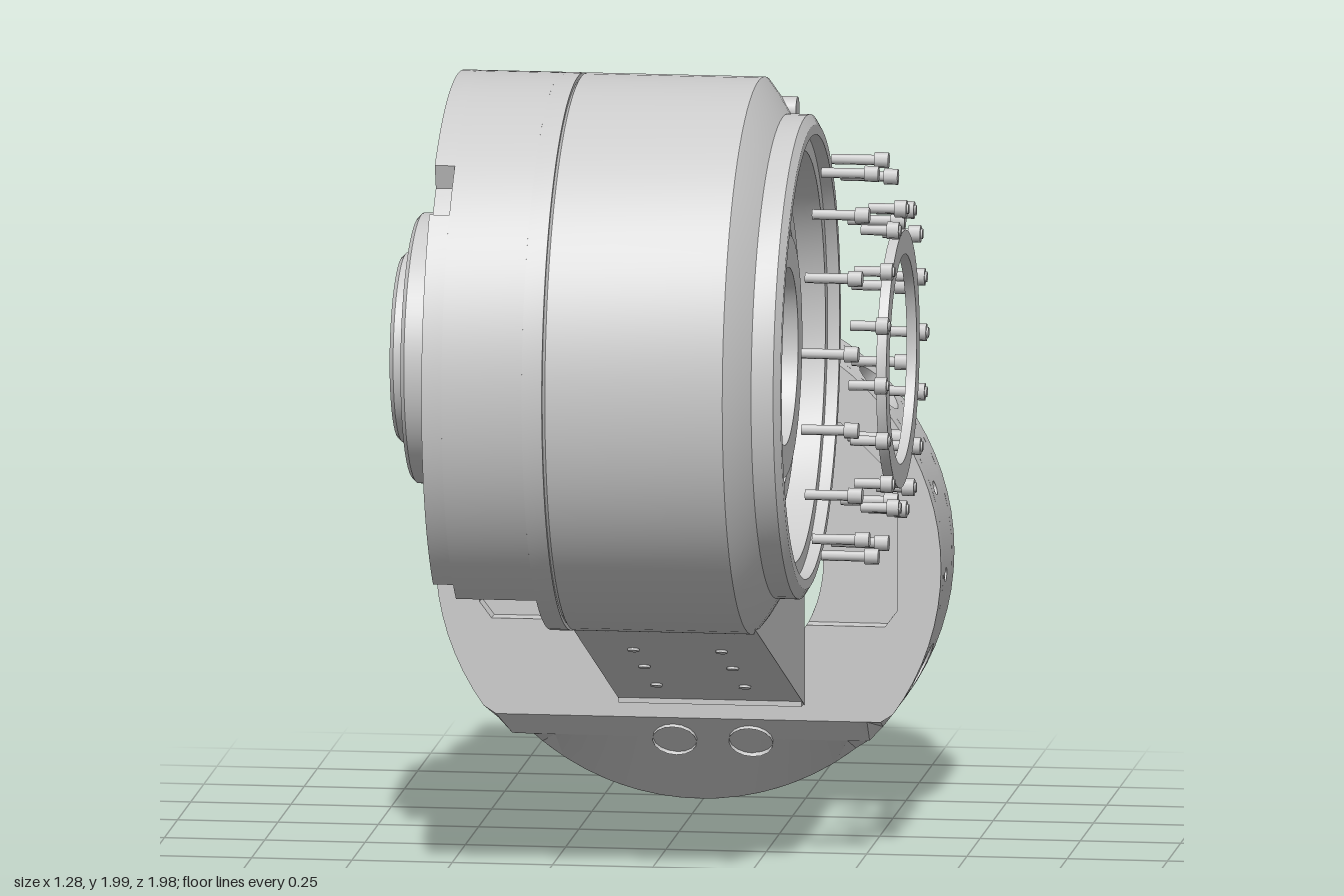
import * as THREE from 'three';
import { mergeGeometries, toCreasedNormals } from 'three/addons/utils/BufferGeometryUtils.js';

const mat = new THREE.MeshStandardMaterial({ color: 0xcccccc, side: THREE.DoubleSide });
const DEG = Math.PI / 180;

function add(parent, name, geo, x = 0, y = 0, z = 0) {
  const m = new THREE.Mesh(geo, mat);
  m.name = name;
  m.position.set(x, y, z);
  parent.add(m);
  return m;
}
function group(parent, name) {
  const g = new THREE.Group();
  g.name = name;
  parent.add(g);
  return g;
}
const smooth = (g) => toCreasedNormals(g, 0.5);
const vecs = (pts) => pts.map(([a, b]) => new THREE.Vector2(a, b));

// Turned part whose axis is local z; profile is [radius, z]
const turned = (pts, seg = 64, start = 0, len = Math.PI * 2) =>
  smooth(new THREE.LatheGeometry(vecs(pts), seg, start, len).rotateX(Math.PI / 2));

// Plate cut from an outline, from z0 to z1
function plate(pts, z0, z1, holes = []) {
  const s = new THREE.Shape(vecs(pts));
  holes.forEach((h) => s.holes.push(new THREE.Path(vecs(h))));
  return smooth(new THREE.ExtrudeGeometry(s, { depth: z1 - z0, bevelEnabled: false }).translate(0, 0, z0));
}
function arc(r, a0, a1, n, cx = 0, cy = 0) {
  return Array.from({ length: n + 1 }, (_, i) => {
    const a = a0 + ((a1 - a0) * i) / n;
    return [cx + r * Math.cos(a), cy + r * Math.sin(a)];
  });
}

// Thick ring around z with radial holes {a: degrees, z, r}: flat panels bent round
function boredRing(R, r, z0, z1, holes) {
  const panels = [];
  const panel = (a0, a1, hole) => {
    const n = hole ? 4 : 1, pts = [];
    for (let i = 0; i <= n; i++) pts.push([(a0 + ((a1 - a0) * i) / n) * DEG * R, z0]);
    for (let i = n; i >= 0; i--) pts.push([(a0 + ((a1 - a0) * i) / n) * DEG * R, z1]);
    const s = new THREE.Shape(vecs(pts));
    if (hole) s.holes.push(new THREE.Path().absarc(hole.a * DEG * R, hole.z, hole.r, 0, Math.PI * 2, true));
    panels.push(new THREE.ExtrudeGeometry(s, { depth: R - r, bevelEnabled: false, curveSegments: 8 }));
  };
  holes.sort((p, q) => p.a - q.a).forEach((h, i) => {
    const half = (h.r / R / DEG) * 1.25;
    const next = holes[(i + 1) % holes.length];
    const end = next.a + (i === holes.length - 1 ? 360 : 0) - (next.r / R / DEG) * 1.25;
    panel(h.a - half, h.a + half, h);
    const start = h.a + half, n = Math.max(1, Math.ceil((end - start) / 6));
    for (let k = 0; k < n; k++) panel(start + ((end - start) * k) / n, start + ((end - start) * (k + 1)) / n);
  });
  const g = mergeGeometries(panels), p = g.attributes.position;
  for (let i = 0; i < p.count; i++) {
    const a = p.getX(i) / R, z = p.getY(i), rad = r + p.getZ(i);
    p.setXYZ(i, rad * Math.cos(a), rad * Math.sin(a), z);
  }
  return smooth(g);
}

// Slanted flat across the bottom front of the flange
function slant(g) {
  const p = g.attributes.position;
  for (let i = 0; i < p.count; i++) {
    const lim = -0.39 + (p.getZ(i) + 0.5) * 1.14;
    if (p.getY(i) < lim) p.setY(i, lim);
  }
  return smooth(g);
}

// Disc sliced by a chord at x = d, with a bite for the hub and an optional rim notch
function slicedDisc(R, d, bite, notch) {
  const a = Math.acos(d / R), out = [];
  for (let i = 0; i <= 90; i++) {
    const t = a + ((2 * Math.PI - 2 * a) * i) / 90;
    const r = notch && Math.abs(t - Math.PI) < 0.09 ? R - 0.06 : R;
    out.push([r * Math.cos(t), r * Math.sin(t)]);
  }
  if (bite) {
    const b = Math.acos(d / bite);
    out.push(...arc(bite, 2 * Math.PI - b, b, 24));
  }
  return out;
}

// Open-topped connector housing
function housing(parent, name, x0, x1, y0, y1, z0, z1, wall, floor) {
  const rect = (k) => [[x0 + k, y0 + k], [x1 - k, y0 + k], [x1 - k, y1 - k], [x0 + k, y1 - k]];
  add(parent, name, plate(rect(0), z0, z1, [rect(wall)]));
  add(parent, name + 'Floor', plate(rect(wall / 2), z0 + 0.005, z0 + floor));
}

export function createModel() {
  const model = new THREE.Group();
  model.name = 'jointActuator';

  // Drum, local frame: x = world z, y = up, z = world -x
  const drum = group(model, 'drum');
  drum.rotation.y = -Math.PI / 2;
  drum.position.set(0, 1.31, 0.3);
  add(drum, 'drumBody', turned([
    [0, -0.1], [0.2, -0.1], [0.22, -0.34], [0.3, -0.34], [0.3, -0.3], [0.36, -0.3], [0.36, -0.32],
    [0.41, -0.32], [0.41, -0.29], [0.51, -0.29], [0.51, -0.37], [0.55, -0.37], [0.55, -0.4],
    [0.575, -0.4], [0.6, -0.385], [0.6, -0.33], [0.65, -0.3], [0.69, -0.27], [0.69, 0.172],
    [0.68, 0.18], [0, 0.18]], 80));
  const boss = add(drum, 'rimScrew', new THREE.CylinderGeometry(0.035, 0.035, 0.06, 12), -0.21, 0.58, -0.31);
  boss.rotation.x = Math.PI / 2;

  // Contact pins and floating ring
  const pins = group(drum, 'pins');
  const pin = (r, a, w, len, s) => {
    const m = add(pins, 'pin', new THREE.CylinderGeometry(s, s, len, 8), r * Math.cos(a), r * Math.sin(a), w);
    m.rotation.x = Math.PI / 2;
  };
  for (let i = 0; i < 16; i++) {
    const a = i * 22.5 * DEG;
    pin(0.49, a + 11.25 * DEG, -0.51, 0.14, 0.013);
    pin(0.49, a + 11.25 * DEG, -0.565, 0.035, 0.02);
    pin(0.377, a, -0.595, 0.1, 0.013);
    pin(0.377, a, -0.625, 0.03, 0.022);
  }
  add(drum, 'floatingRing', turned([[0.26, -0.63], [0.32, -0.63], [0.32, -0.605], [0.26, -0.605], [0.26, -0.63]], 48));

  // Rear cover, turned so that local x points down and back
  const cover = group(drum, 'rearCover');
  cover.rotation.z = 225 * DEG;
  add(cover, 'coverBase', plate(slicedDisc(0.69, 0.48), 0.18, 0.23));
  add(cover, 'coverShell', plate(slicedDisc(0.69, 0.1, 0.25), 0.23, 0.43));
  add(cover, 'coverFace', plate(slicedDisc(0.69, 0.03, 0.25, true), 0.43, 0.48));
  add(cover, 'hub', turned([[0.19, 0.23], [0.335, 0.23], [0.335, 0.57], [0.325, 0.58], [0.235, 0.58],
    [0.235, 0.61], [0.225, 0.62], [0.19, 0.62], [0.19, 0.23]], 48, 110 * DEG, 320 * DEG));
  housing(cover, 'smallConnector', 0.3, 0.48, -0.1, 0.26, 0.23, 0.42, 0.035, 0.06);
  const upper = group(cover, 'upperConnector');
  upper.rotation.x = Math.PI / 2;
  housing(upper, 'largeConnector', 0.1, 0.48, 0.23, 0.48, 0.2, 0.48, 0.035, 0.17);

  // Arm from drum to flange, with a window through it
  add(drum, 'arm', plate([
    [0.5, 0.67], [-0.5, 0.29], [-0.5, 0.59], [-0.42, 0.59], [-0.32, 0.61], [-0.15, 0.67], [-0.11, 0.73],
    [-0.13, 0.81], [-0.22, 0.92], [-0.28, 1.0], [-0.34, 1.02], [-0.5, 1.02], [-0.5, 1.17], [-0.44, 1.2],
    [-0.39, 1.27], [-0.37, 1.34], ...arc(0.61, Math.PI, 288 * DEG, 24, 0.3, 1.31),
  ], -0.28, 0.18), -0.3, -1.31, 0);
  // Arm end, arched around the bore, with narrow uprights at both sides
  for (const s of [-1, 1]) {
    const end = s < 0 ? 0.292 : 1.17, pts = [[-0.178, end], [0.278, end]];
    for (let i = 0; i <= 16; i++) {
      const x = 0.278 - (0.456 * i) / 16;
      pts.push([x, 0.64 + s * Math.sqrt(0.33 ** 2 - (x + 0.01) ** 2)]);
    }
    add(model, 'armFoot', plate(pts, -0.505, -0.46));
    add(model, 'armUpright', new THREE.BoxGeometry(0.03, 0.5, 0.045), 0.05 + s * 0.213, 0.8, -0.4825);
  }
  for (const x of [-0.06, 0.16]) for (const z of [-0.28, -0.05, 0.16]) {
    const m = add(model, 'armScrew', new THREE.CylinderGeometry(0.015, 0.015, 0.012, 8), x, 0.29 + 0.38 * (z + 0.5), z);
    m.rotation.x = -21 * DEG;
  }

  // Mounting flange around the z axis
  const flange = group(model, 'flange');
  flange.position.set(-0.01, 0.64, 0);
  const pocket = [[-0.52, -0.11], [-0.49, -0.15], ...arc(0.33, 207 * DEG, 333 * DEG, 24),
    [0.49, -0.15], [0.52, -0.11], [0.52, 0.22], [0.38, 0.36], [-0.38, 0.36], [-0.52, 0.22]];
  const rim = arc(0.63, 0, 2 * Math.PI * 79 / 80, 79);
  add(flange, 'flangeFront', slant(plate(rim, -0.55, -0.5, [pocket])));
  add(flange, 'flangeRing', slant(boredRing(0.63, 0.33, -0.71, -0.55, [
    ...[43, 137, 206, 334].map((a) => ({ a, z: -0.63, r: 0.07 })),
    ...[-3, 17, 163, 183].map((a) => ({ a, z: -0.6, r: 0.018 }))])));
  add(flange, 'flangeBack', turned([[0.33, -0.765], [0.62, -0.765], [0.63, -0.755], [0.63, -0.71], [0.33, -0.71], [0.33, -0.765]], 80));
  add(flange, 'collar', boredRing(0.545, 0.465, -0.99, -0.765, [
    ...[22, 68, 112, 158, 202, 248, 292, 338].map((a) => ({ a, z: -0.92, r: 0.045 })),
    { a: 0, z: -0.945, r: 0.034 }]));
  add(flange, 'collarStep', turned([[0.39, -0.85], [0.47, -0.85], [0.47, -0.765], [0.39, -0.765], [0.39, -0.85]], 64));
  add(flange, 'collarTab', new THREE.BoxGeometry(0.31, 0.06, 0.08), -0.02, 0.51, -0.8);
  for (const x of [-0.04, 0.15]) {
    const m = add(flange, 'slantSocket', new THREE.CylinderGeometry(0.055, 0.055, 0.02, 16, 1, true), x, -0.45, -0.553);
    m.rotation.x = 131 * DEG;
  }
  return model;
}
